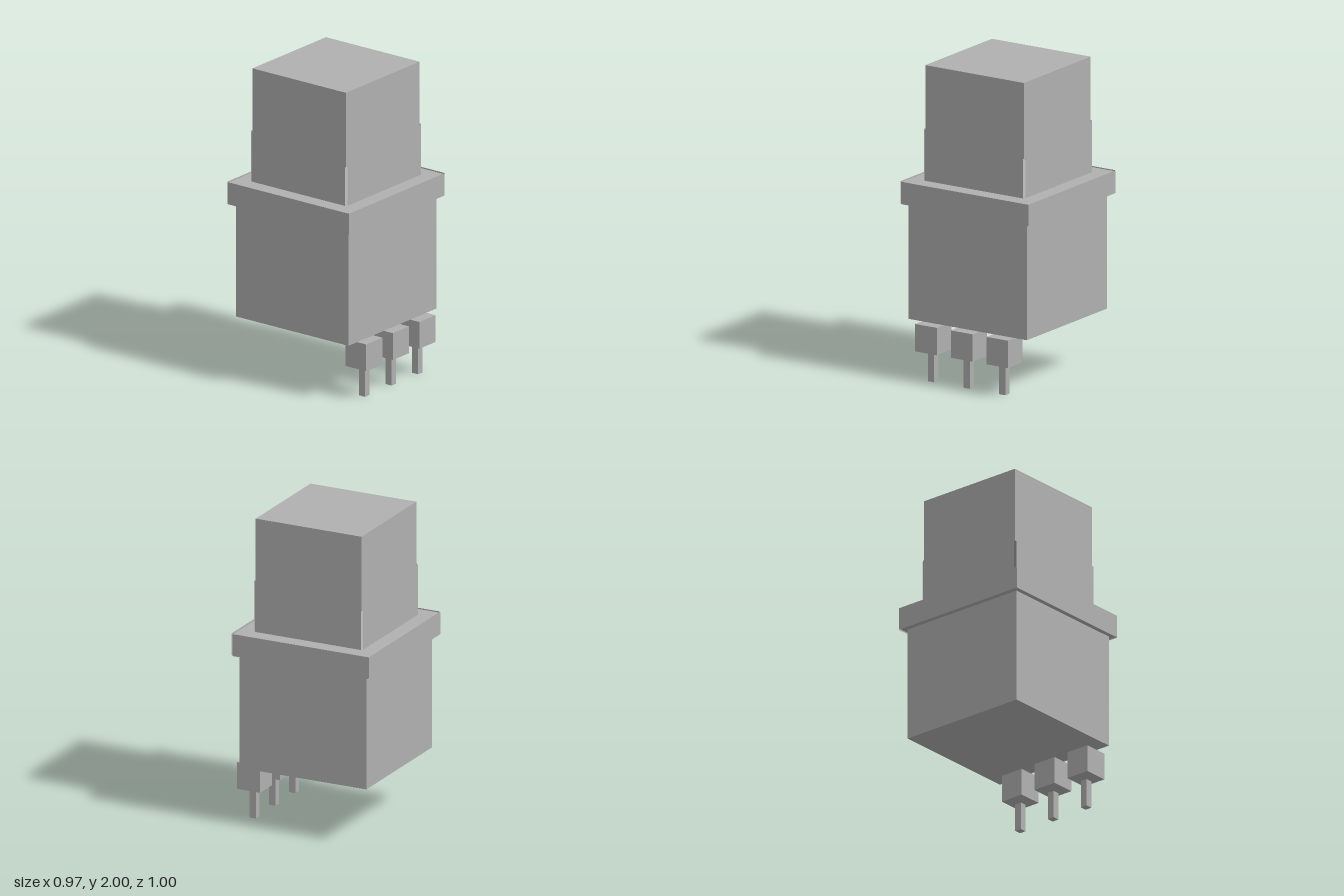
import * as THREE from 'three';

export function createModel() {
  const model = new THREE.Group();
  const grey = new THREE.MeshStandardMaterial({ color: 0xb0b0b0, side: THREE.DoubleSide });
  grey.name = 'grey';
  const CZ = -0.0125; // depth centre of the housing

  function box(name, w, d, y0, y1, x = 0, z = CZ) {
    const mesh = new THREE.Mesh(new THREE.BoxGeometry(w, y1 - y0, d), grey);
    mesh.name = name;
    mesh.position.set(x, (y0 + y1) / 2, z);
    model.add(mesh);
  }

  // Four flat sheets standing just off the sides, open at the corners
  function skirt(name, size, y0, y1, gap) {
    const group = new THREE.Group();
    group.name = name;
    group.position.set(0, (y0 + y1) / 2, CZ);
    for (let i = 0; i < 4; i++) {
      const sheet = new THREE.Mesh(new THREE.PlaneGeometry(size, y1 - y0), grey);
      sheet.name = name + 'Panel';
      const a = i * Math.PI / 2, r = size / 2 + gap;
      sheet.rotation.y = a;
      sheet.position.set(Math.sin(a) * r, 0, Math.cos(a) * r);
      group.add(sheet);
    }
    model.add(group);
  }

  // Housing and collar
  box('body', 0.885, 0.885, 0.375, 1.12, 0, -0.01);
  box('collar', 0.946, 0.946, 1.12, 1.257);
  skirt('collarTrim', 0.946, 1.117, 1.26, 0.011);

  // Push cap and the open sleeve it sits in
  box('cap', 0.738, 0.738, 1.51, 2);
  skirt('sleeve', 0.738, 1.26, 1.59, 0.011);

  // Terminals along the front
  for (const x of [-0.267, 0, 0.266]) {
    box('terminalBlock', 0.162, 0.162, 0.196, 0.372, x, 0.418);
    box('terminalPin', 0.046, 0.046, 0, 0.18, x, 0.42);
  }
  return model;
}
